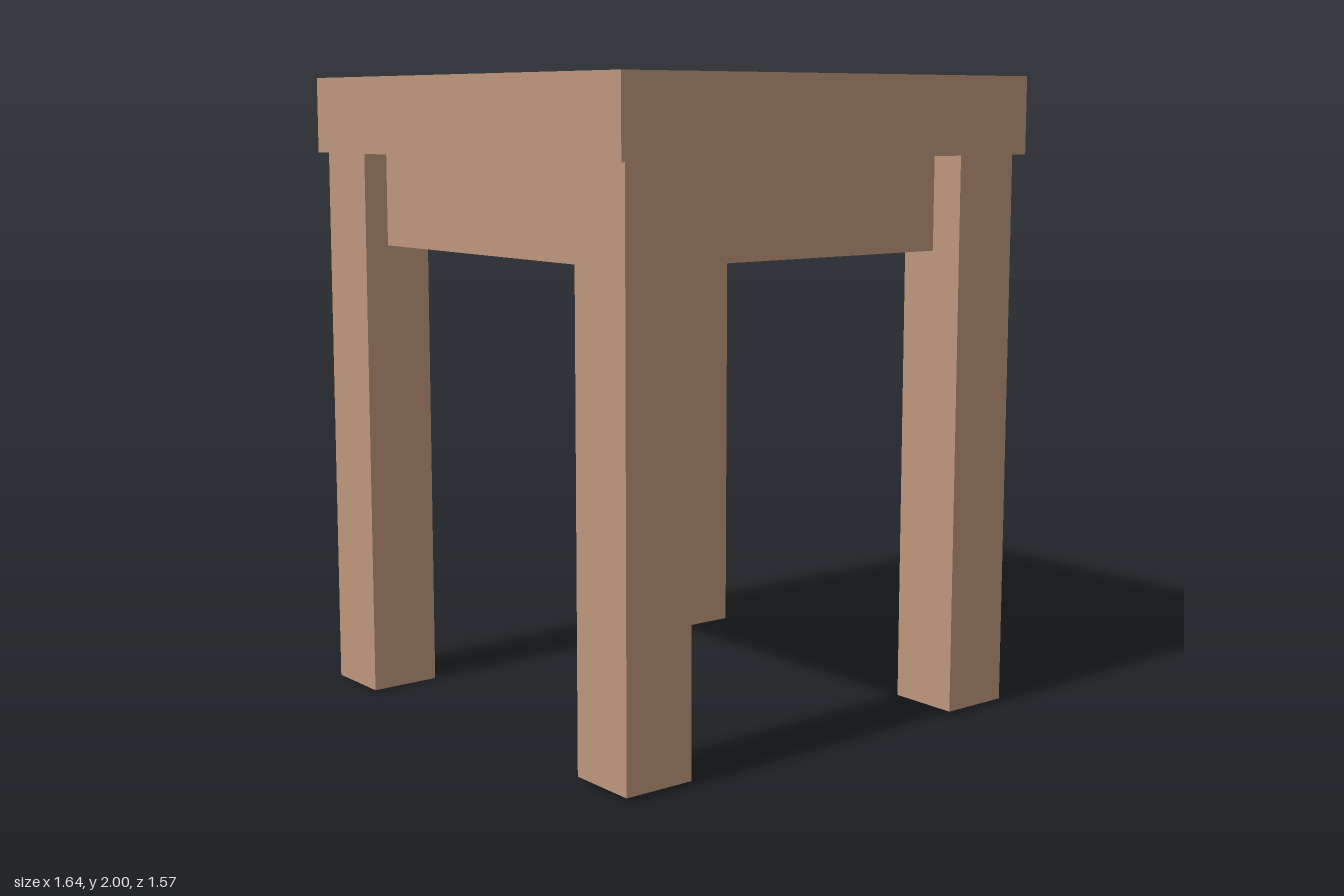
import * as THREE from 'three';

const wood = new THREE.MeshStandardMaterial({ color: 0xbf967a, side: THREE.DoubleSide });
wood.name = 'wood';

// Box given by its lower and upper corners
function addBox(parent, name, [x0, y0, z0], [x1, y1, z1], openBottom = false) {
  const geometry = new THREE.BoxGeometry(x1 - x0, y1 - y0, z1 - z0);
  if (openBottom) {
    // Drop the two triangles of the bottom face
    const index = Array.from(geometry.index.array);
    index.splice(18, 6);
    geometry.setIndex(index);
    geometry.clearGroups();
  }
  const mesh = new THREE.Mesh(geometry, wood);
  mesh.name = name;
  mesh.position.set((x0 + x1) / 2, (y0 + y1) / 2, (z0 + z1) / 2);
  parent.add(mesh);
}

export function createModel() {
  const stool = new THREE.Group();
  stool.name = 'stool';
  const seatBottom = 1.76, apronBottom = 1.465;

  // Thick slab seat
  addBox(stool, 'seat', [-0.82, seatBottom, -0.787], [0.82, 2, 0.787]);

  // Hollow square legs; the pair on the left is slightly shorter
  const legX = { Left: [0.57, 0.8], Right: [-0.8, -0.57] };
  const legZ = { front: [0.53, 0.76], back: [-0.75, -0.52] };
  for (const [side, [x0, x1]] of Object.entries(legX)) {
    for (const [end, [z0, z1]] of Object.entries(legZ)) {
      const foot = side === 'Left' ? 0.015 : 0;
      addBox(stool, `${end}${side}Leg`, [x0, foot, z0], [x1, seatBottom, z1], true);
    }
  }

  // Aprons between the legs, set back from their outer faces
  addBox(stool, 'frontApron', [-0.57, apronBottom, 0.53], [0.57, seatBottom, 0.68]);
  addBox(stool, 'backApron', [-0.57, apronBottom, -0.68], [0.57, seatBottom, -0.53]);
  addBox(stool, 'leftApron', [0.54, apronBottom, -0.52], [0.69, seatBottom, 0.53]);
  addBox(stool, 'rightApron', [-0.69, apronBottom, -0.52], [-0.54, seatBottom, 0.53]);

  return stool;
}
